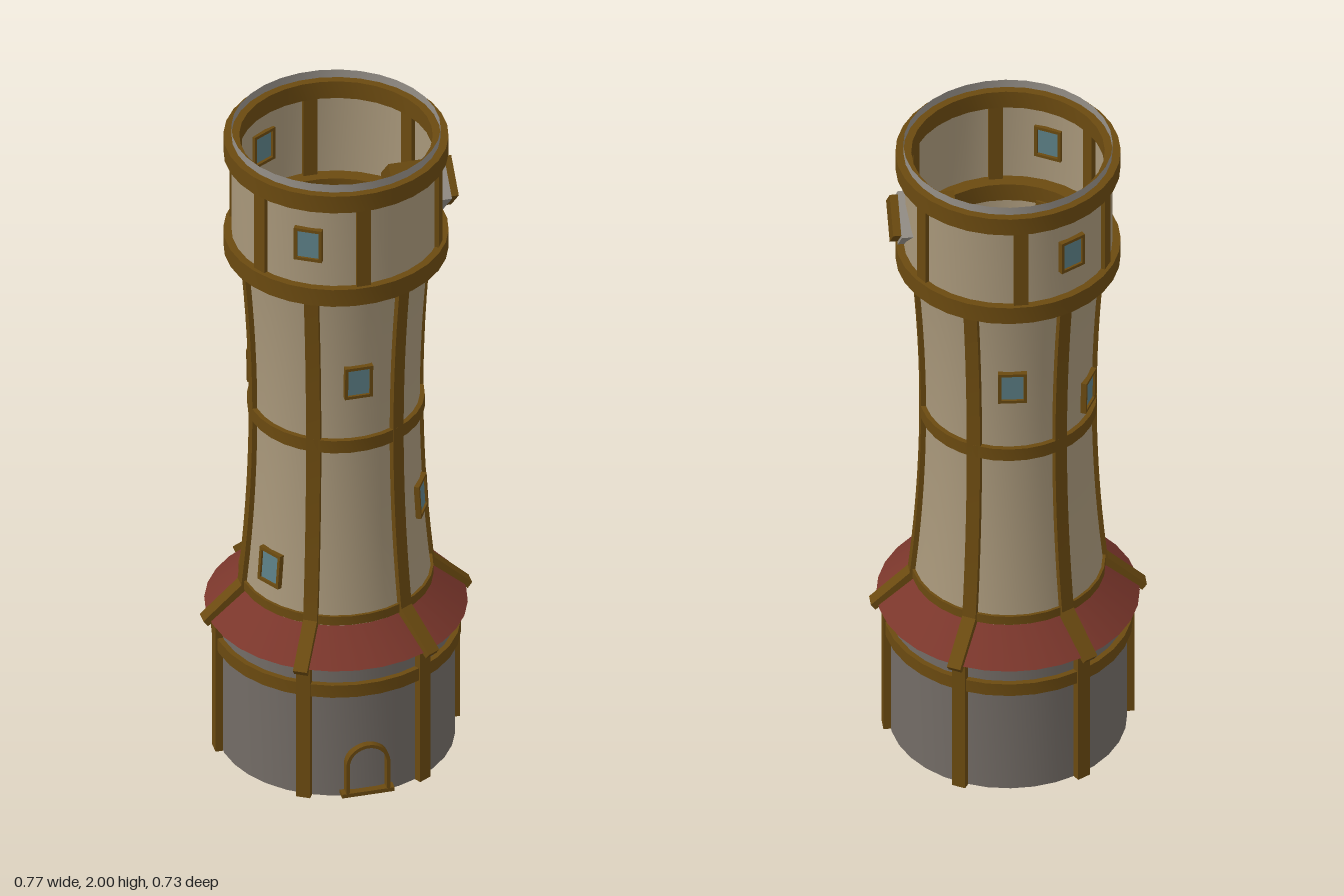
import * as THREE from 'three';
import { toCreasedNormals } from 'three/addons/utils/BufferGeometryUtils.js';

const SIDES = 32;
const mat = (name, color, side = THREE.FrontSide) => {
  const m = new THREE.MeshStandardMaterial({ color, side });
  m.name = name;
  return m;
};

export function createModel() {
  const root = new THREE.Group();
  root.name = 'tower';
  const wood = mat('wood', 0x6b4a10);
  const plaster = mat('plaster', 0xa8977a, THREE.DoubleSide);
  const stone = mat('stone', 0x736c66);
  const trim = mat('pale stone', 0x969088, THREE.DoubleSide);
  const roofRed = mat('roof red', 0x7a362b, THREE.DoubleSide);
  const glass = mat('glass', 0x5c7f86);

  const add = (name, geo, material, parent = root) => {
    const m = new THREE.Mesh(geo, material);
    m.name = name;
    parent.add(m);
    return m;
  };
  const lathe = (pts) => toCreasedNormals(new THREE.LatheGeometry(
    pts.map(([r, y]) => new THREE.Vector2(r, y)), SIDES, Math.PI / SIDES), 0.6);
  const ring = (name, r0, r1, y0, y1, material = wood) =>
    add(name, lathe([[r0, y0], [r1, y0], [r1, y1], [r0, y1], [r0, y0]]), material);

  // radius and lean of the waisted shaft
  const shaftR = (y) => 0.232 + 0.025 * ((y - 1.1) / 0.5) ** 2;
  const shaftLean = (y) => Math.atan(0.2 * (y - 1.1));
  const steps = Array.from({ length: 17 }, (_, i) => 0.5 + i * 0.07);

  // walls
  ring('baseWall', 0.29, 0.33, 0, 0.45, stone);
  add('floor', new THREE.CylinderGeometry(0.291, 0.291, 0.02, SIDES).translate(0, 0.01, 0), wood);
  add('shaftWall', lathe(steps.map((y) => [shaftR(y), y])), plaster);
  add('upperWall', lathe([[0.29, 1.63], [0.29, 1.95]]), plaster);
  add('topRim', lathe([[0.29, 1.95], [0.29, 2]]), trim);
  add('skirtRoof', lathe([[0.365, 0.435], [0.25, 0.535]]), roofRed);

  // wooden bands
  ring('baseBand', 0.315, 0.346, 0.335, 0.375);
  ring('skirtBand', 0.24, 0.27, 0.525, 0.553);
  ring('waistBand', 0.21, 0.246, 1.08, 1.12);
  ring('lowerCrownBand', 0.25, 0.312, 1.61, 1.665);
  ring('upperCrownBand', 0.268, 0.312, 1.92, 1.975);

  // timbers: a radial profile, given a width and repeated six times
  const timbers = (name, pts, width, offset) => {
    const shape = new THREE.Shape(pts.map(([r, y]) => new THREE.Vector2(r, y)));
    const geo = new THREE.ExtrudeGeometry(shape, { depth: width, bevelEnabled: false })
      .translate(0, 0, -width / 2);
    const creased = toCreasedNormals(geo, 0.5);
    for (let i = 0; i < 6; i++) {
      add(name, creased, wood).rotation.y = -(i * Math.PI / 3 + offset);
    }
  };
  timbers('basePost', [[0.3, 0], [0.35, 0], [0.35, 0.44], [0.3, 0.44]], 0.04, 0);
  timbers('roofBeam', [[0.25, 0.525], [0.372, 0.42], [0.385, 0.438], [0.262, 0.553], [0.25, 0.553]], 0.04, 0);
  timbers('shaftPost', [
    ...steps.map((y) => [shaftR(y) + 0.013, y]),
    ...steps.map((y) => [shaftR(y) - 0.015, y]).reverse(),
  ], 0.04, 0);
  timbers('upperPost', [[0.275, 1.64], [0.3, 1.64], [0.3, 1.94], [0.275, 1.94]], 0.04, Math.PI / 6);

  // windows: angle from +x towards +z, height
  const frameShape = new THREE.Shape();
  frameShape.moveTo(-0.04, -0.052).lineTo(0.04, -0.052).lineTo(0.04, 0.052).lineTo(-0.04, 0.052).closePath();
  const opening = new THREE.Path();
  opening.moveTo(-0.031, -0.043).lineTo(-0.031, 0.043).lineTo(0.031, 0.043).lineTo(0.031, -0.043).closePath();
  frameShape.holes.push(opening);
  const frameGeo = new THREE.ExtrudeGeometry(frameShape, { depth: 0.024, bevelEnabled: false })
    .translate(0, 0, -0.012);
  const paneGeo = new THREE.BoxGeometry(0.064, 0.088, 0.009);
  for (const [deg, y] of [[90, 1.31], [274, 1.335], [207, 1.2], [30, 0.82], [150, 0.66], [120, 1.8], [240, 1.8]]) {
    const a = THREE.MathUtils.degToRad(deg);
    const upper = y > 1.6;
    const r = upper ? 0.29 : shaftR(y);
    const w = new THREE.Group();
    w.name = 'window';
    w.rotation.order = 'YXZ';
    w.rotation.y = Math.PI / 2 - a;
    w.rotation.x = upper ? 0 : shaftLean(y);
    w.position.set(Math.cos(a) * r, y, Math.sin(a) * r);
    add('windowFrame', frameGeo, wood, w);
    add('windowPane', paneGeo, glass, w).position.z = 0.001;
    root.add(w);
  }

  // arched doorway frame and sill
  const arch = new THREE.Shape();
  arch.moveTo(-0.063, 0.01).lineTo(-0.053, 0.01).lineTo(-0.053, 0.108);
  arch.absarc(0, 0.108, 0.053, Math.PI, 0, true);
  arch.lineTo(0.053, 0.01).lineTo(0.063, 0.01).lineTo(0.063, 0.108);
  arch.absarc(0, 0.108, 0.063, 0, Math.PI, false);
  arch.closePath();
  const archGeo = new THREE.ExtrudeGeometry(arch, { depth: 0.04, bevelEnabled: false, curveSegments: 12 });
  add('doorFrame', toCreasedNormals(archGeo, 0.5), wood).position.z = 0.308;
  add('doorSill', new THREE.BoxGeometry(0.15, 0.012, 0.04), wood).position.set(0, 0.014, 0.329);

  // diamond hatch through the upper wall
  const hatch = new THREE.Group();
  hatch.name = 'hatch';
  hatch.position.set(0, 1.77, 0);
  hatch.rotation.x = Math.PI / 4;
  add('hatchBeam', new THREE.BoxGeometry(0.18, 0.116, 0.116), wood, hatch).position.x = 0.24;
  add('hatchSurround', new THREE.BoxGeometry(0.055, 0.132, 0.132), trim, hatch).position.x = 0.28;
  root.add(hatch);

  return root;
}
